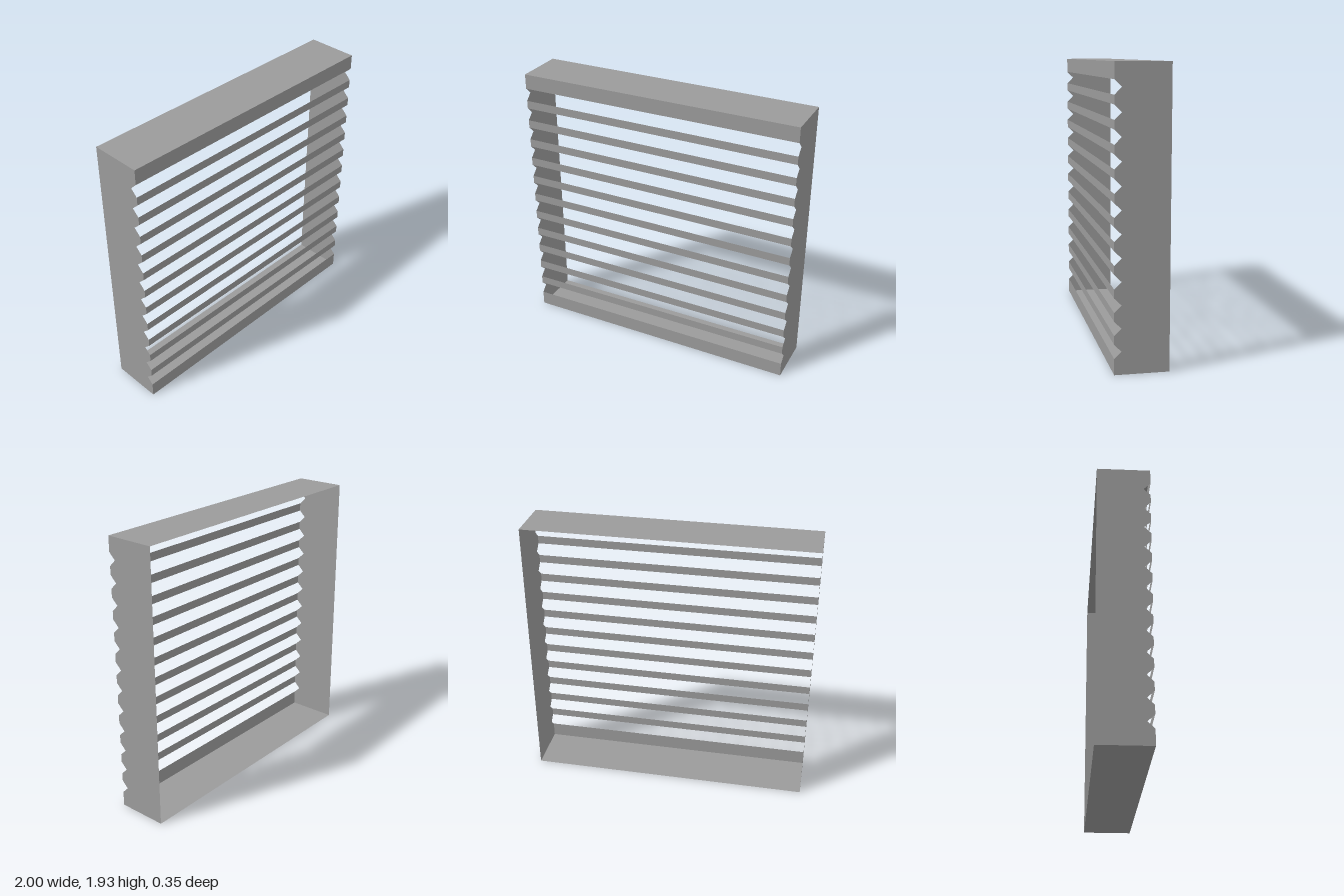
import * as THREE from 'three';

const W = 2, H = 1.933, D = 0.354;      // overall size
const COUNT = 12, PITCH = 0.1484;       // louvre openings
const GAP = 0.091, NOTCH = 0.046;       // opening height, notch depth

export function createModel() {
  const group = new THREE.Group();
  const material = new THREE.MeshStandardMaterial({
    color: 0x9b9b9b, flatShading: true, side: THREE.DoubleSide,
  });
  const add = (name, geometry, x, y, z) => {
    const mesh = new THREE.Mesh(geometry, material);
    mesh.name = name;
    mesh.position.set(x, y, z);
    group.add(mesh);
  };

  // Centre heights of the openings, bottom to top
  const centres = Array.from({ length: COUNT },
    (_, i) => H / 2 + (i - (COUNT - 1) / 2) * PITCH);

  // Side sheets with a V notch in the front edge at each opening
  const profile = new THREE.Shape();
  profile.moveTo(-D / 2, 0);
  profile.lineTo(D / 2, 0);
  for (const y of centres) {
    profile.lineTo(D / 2, y - GAP / 2);
    profile.lineTo(D / 2 - NOTCH, y);
    profile.lineTo(D / 2, y + GAP / 2);
  }
  profile.lineTo(D / 2, H);
  profile.lineTo(-D / 2, H);
  profile.closePath();
  const side = new THREE.ShapeGeometry(profile).rotateY(-Math.PI / 2);
  add('leftSide', side, W / 2, 0, 0);
  add('rightSide', side, -W / 2, 0, 0);

  // Top and bottom sheets
  const sheet = new THREE.PlaneGeometry(W, D).rotateX(-Math.PI / 2);
  add('topPanel', sheet, 0, H, 0);
  add('bottomPanel', sheet, 0, 0, 0);

  // Front strips: bottom rail, slats between openings, top rail
  for (let i = 0; i <= COUNT; i++) {
    const y0 = i === 0 ? 0 : centres[i - 1] + GAP / 2;
    const y1 = i === COUNT ? H : centres[i] - GAP / 2;
    const name = i === 0 ? 'bottomRail' : i === COUNT ? 'topRail' : 'slat' + i;
    add(name, new THREE.PlaneGeometry(W, y1 - y0), 0, (y0 + y1) / 2, D / 2);
  }

  return group;
}
